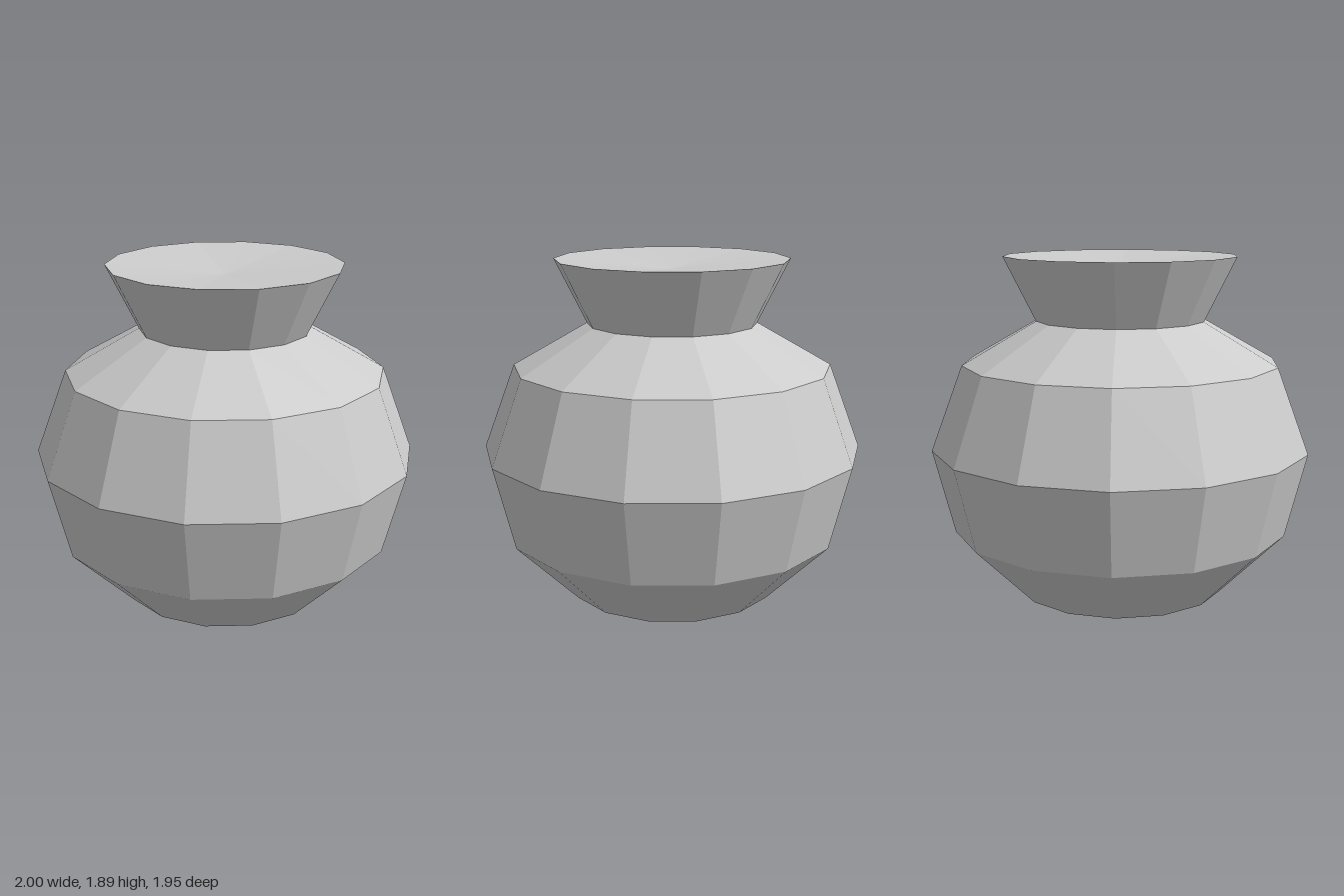
import * as THREE from 'three';

const SIDES = 14;
const UNIT = 1 / 9;

export function createModel() {
  const group = new THREE.Group();
  group.name = 'pot';
  const material = new THREE.MeshStandardMaterial({ color: 0xcccccc, flatShading: true });

  // Turn a [radius, height] profile, with a corner pointing along +x
  const turn = (name, profile) => {
    const points = profile.map(([r, y]) => new THREE.Vector2(r * UNIT, y * UNIT));
    const mesh = new THREE.Mesh(new THREE.LatheGeometry(points, SIDES, Math.PI / 2), material);
    mesh.name = name;
    group.add(mesh);
  };

  // Round belly with a shallow pointed base and sloping shoulder
  turn('body', [[0, 0], [5, 1], [8, 4], [9, 8], [7.5, 12], [4, 14]]);
  // Flared collar
  turn('neck', [[4, 14], [5.5, 17]]);
  // Slightly dished closed top
  turn('top', [[5.5, 17], [0, 16.5]]);

  return group;
}
